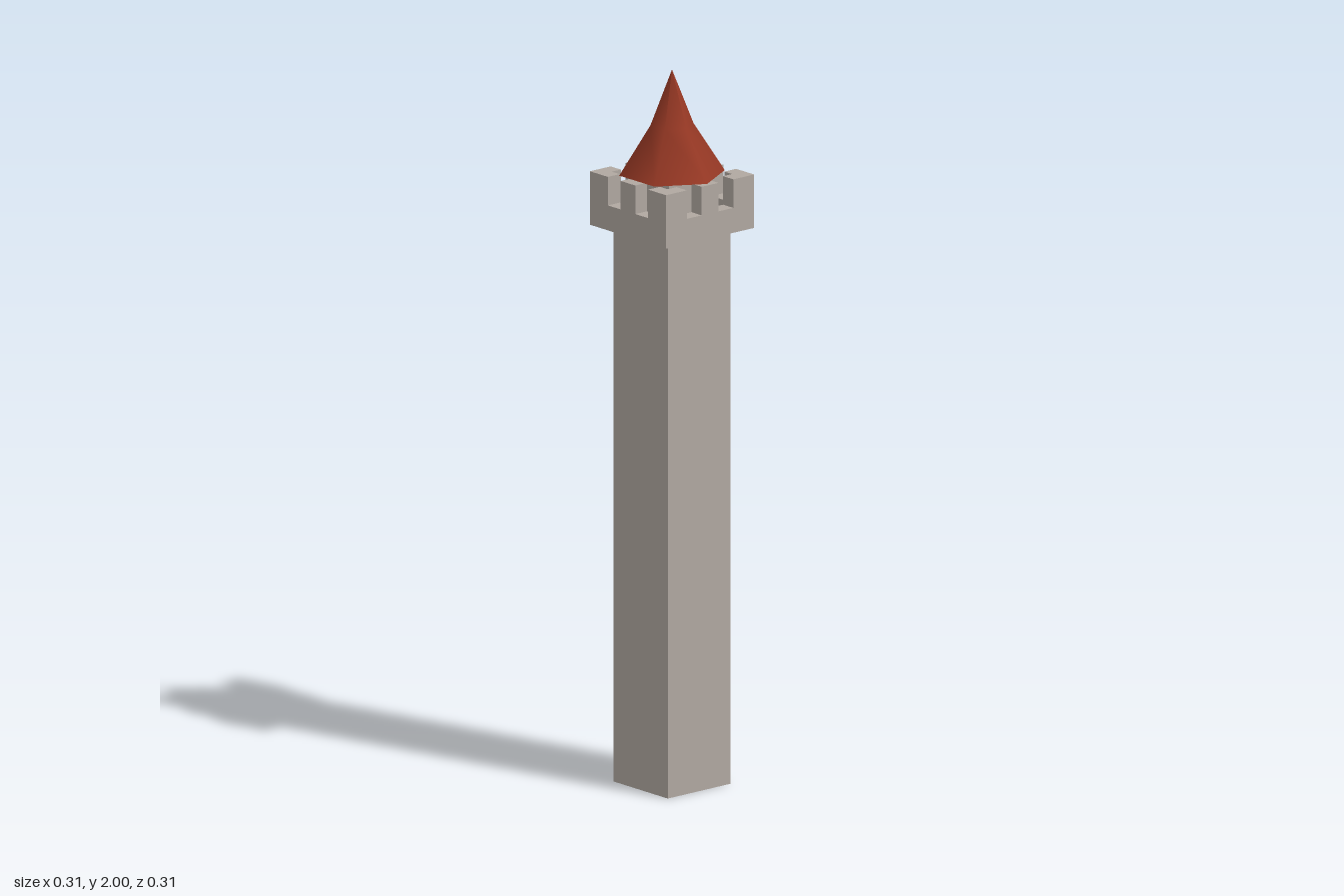
import * as THREE from 'three';

export function createModel() {
  const stone = new THREE.MeshStandardMaterial({ color: 0xb0a8a1, side: THREE.DoubleSide });
  stone.name = 'stone';
  const roofRed = new THREE.MeshStandardMaterial({ color: 0x963824, side: THREE.DoubleSide });
  roofRed.name = 'roofRed';
  const darkFloor = new THREE.MeshStandardMaterial({ color: 0x414143 });
  darkFloor.name = 'darkFloor';

  const tower = new THREE.Group();
  tower.name = 'tower';
  const add = (name, geometry, material, parent = tower) => {
    const mesh = new THREE.Mesh(geometry, material);
    mesh.name = name;
    parent.add(mesh);
    return mesh;
  };
  const box = (w, y0, y1, d) => new THREE.BoxGeometry(w, y1 - y0, d).translate(0, (y0 + y1) / 2, 0);
  const outline = (points) => points.map(([x, y]) => new THREE.Vector2(x, y));
  // Extrude a plan shape upwards from y0 to y1
  const raise = (shape, y0, y1) =>
    new THREE.ExtrudeGeometry(shape, { depth: y1 - y0, bevelEnabled: false })
      .rotateX(-Math.PI / 2).translate(0, y0, 0);

  const R = 0.157;        // outer half width of the parapet
  const r = 0.115;        // inner half width of the parapet
  const c = 0.083;        // where each corner merlon ends
  const base = 1.56, sill = 1.63, top = 1.71;

  // Hollow square shaft, open underneath
  const shaftSide = 0.112;
  for (let i = 0; i < 4; i++) {
    const wall = new THREE.PlaneGeometry(shaftSide * 2, 1.58)
      .translate(0, 0.79, shaftSide).rotateY(i * Math.PI / 2);
    add('shaftWall', wall, stone);
  }

  // Parapet ring and the dark walkway inside it
  const square = (h) => outline([[-h, -h], [h, -h], [h, h], [-h, h]]);
  const ring = new THREE.Shape(square(R));
  ring.holes.push(new THREE.Path(square(r)));
  add('parapet', raise(ring, base, sill), stone);
  add('walkway', box(r * 2, 1.57, 1.6, r * 2), darkFloor);

  // Merlons: one straight block per side and an L-shaped block per corner
  const corner = new THREE.Shape(outline([[c, r], [r, r], [r, c], [R, c], [R, R], [c, R]]));
  for (let i = 0; i < 4; i++) {
    const side = new THREE.Group();
    side.name = 'battlementSide';
    side.rotation.y = i * Math.PI / 2;
    tower.add(side);
    add('middleMerlon', box(0.06, sill, top, R - r).translate(0, 0, (R + r) / 2), stone, side);
    add('cornerMerlon', raise(corner, sill, top), stone, side);
  }

  // Square core carrying the roof
  add('roofCore', box(0.166, 1.6, top, 0.166), stone);

  // Six-sided flared spire with smooth shading, closed below
  const profile = outline([[0.145, top], [0.059, 1.847], [0, 2]]);
  add('spire', new THREE.LatheGeometry(profile, 6, Math.PI / 6), roofRed);
  add('spireUnderside',
    new THREE.CircleGeometry(0.145, 6).rotateX(Math.PI / 2).translate(0, top + 0.001, 0), roofRed);

  return tower;
}
